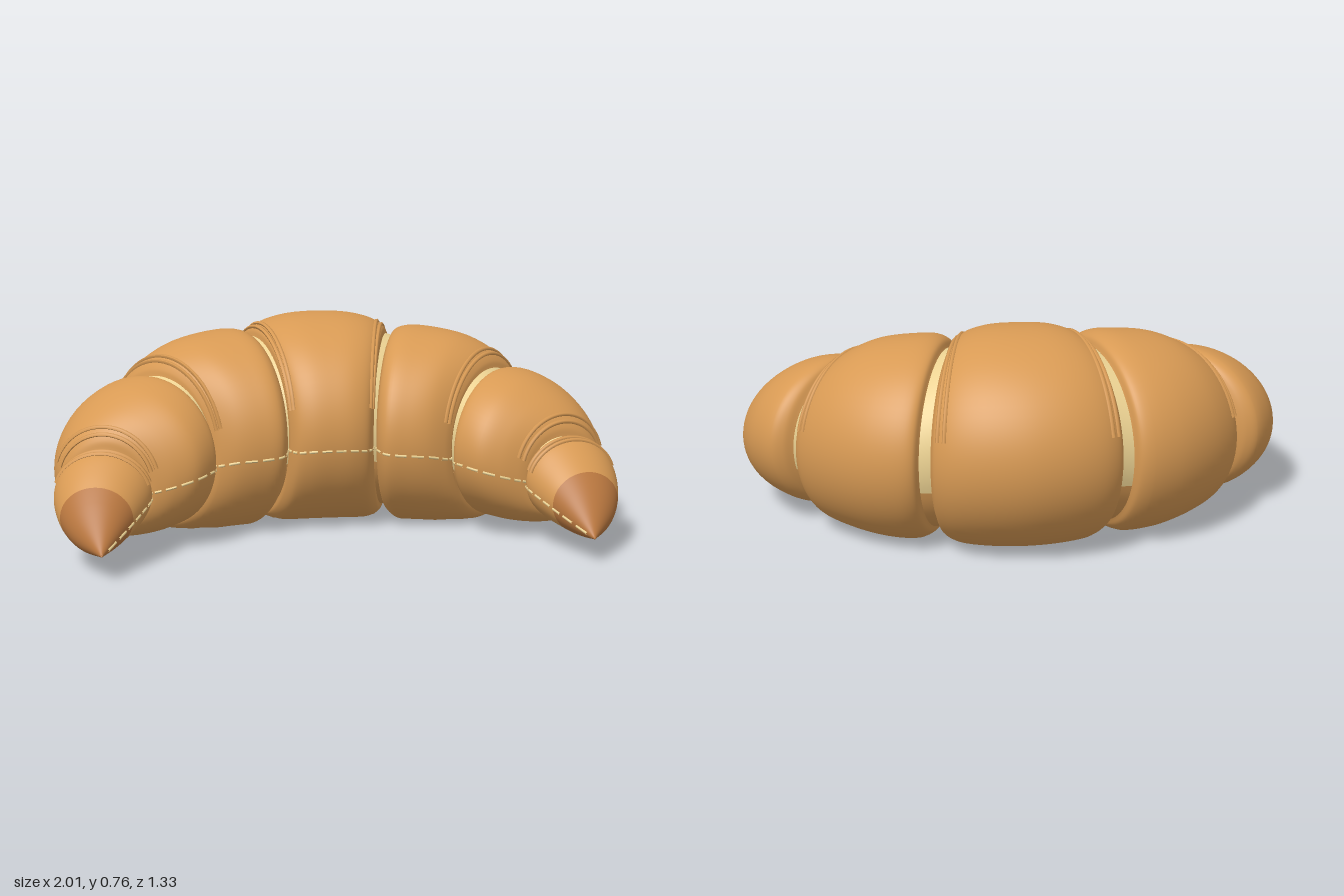
import * as THREE from 'three';
import { mergeVertices, mergeGeometries } from 'three/addons/utils/BufferGeometryUtils.js';

const mat = (color) => new THREE.MeshStandardMaterial({ color, roughness: 0.8, side: THREE.DoubleSide });

// Cross-sections: outer x, outer z, inner x, inner z, top y, bottom y
const halfMiddle = [
  [0, -0.667, 0, 0.21, 0.765, -0.028],
  [0.16, -0.645, 0.075, 0.205, 0.758, -0.026],
  [0.27, -0.60, 0.125, 0.185, 0.735, -0.018],
  [0.325, -0.55, 0.15, 0.15, 0.705, 0.005],
  [0.335, -0.515, 0.155, 0.13, 0.68, 0.03],
];
const mirrored = halfMiddle.slice(1).reverse().map(([a, b, c, ...r]) => [-a, b, -c, ...r]);
const middle = [...mirrored, ...halfMiddle];
const second = [
  [0.375, -0.505, 0.165, 0.13, 0.672, 0.03],
  [0.40, -0.53, 0.165, 0.17, 0.70, 0.005],
  [0.45, -0.53, 0.19, 0.21, 0.715, -0.02],
  [0.57, -0.48, 0.26, 0.225, 0.71, -0.025],
  [0.70, -0.375, 0.34, 0.225, 0.685, -0.015],
  [0.785, -0.26, 0.405, 0.205, 0.635, 0],
  [0.80, -0.205, 0.43, 0.19, 0.60, 0.02],
  [0.795, -0.18, 0.435, 0.185, 0.575, 0.05],
];
const third = [
  [0.81, -0.15, 0.445, 0.22, 0.555, 0.05],
  [0.85, -0.16, 0.43, 0.25, 0.58, 0.035],
  [0.895, -0.15, 0.445, 0.28, 0.585, 0.03],
  [0.965, -0.05, 0.50, 0.335, 0.56, 0.03],
  [1.0, 0.08, 0.575, 0.355, 0.505, 0.04],
  [0.995, 0.19, 0.64, 0.355, 0.445, 0.06],
  [0.97, 0.245, 0.67, 0.35, 0.405, 0.08],
  [0.945, 0.265, 0.685, 0.345, 0.375, 0.10],
];
const end = [
  [0.945, 0.285, 0.69, 0.365, 0.365, 0.10],
  [0.98, 0.30, 0.665, 0.39, 0.38, 0.085],
  [1.0, 0.335, 0.67, 0.41, 0.375, 0.075],
  [0.995, 0.42, 0.71, 0.475, 0.32, 0.065],
  [0.955, 0.52, 0.765, 0.555, 0.235, 0.065],
  [0.845, 0.665, 0.845, 0.665, 0.09, 0.088],
];

// Returns a function giving the skin point at section index k and angle a
// (0 = outer side, PI/2 = top, PI = inner side); the base is pressed flat
function skin(keys) {
  const outerTop = new THREE.CatmullRomCurve3(keys.map((k) => new THREE.Vector3(k[0], k[4], k[1])));
  const innerBottom = new THREE.CatmullRomCurve3(keys.map((k) => new THREE.Vector3(k[2], k[5], k[3])));
  return (k, a) => {
    const t = Math.min(k / (keys.length - 1), 1);
    const p = outerTop.getPoint(t), q = innerBottom.getPoint(t);
    const w = (1 + Math.cos(a)) / 2, h = (1 + Math.sin(a)) / 2;
    return new THREE.Vector3(
      q.x + (p.x - q.x) * w,
      Math.max(0, q.y + (p.y - q.y) * h),
      q.z + (p.z - q.z) * w
    );
  };
}

// Skin patch between two section indices and two angles
function patch(f, k0, k1, a0, a1, rows, cols) {
  const pos = [], index = [];
  for (let i = 0; i <= rows; i++) {
    for (let j = 0; j <= cols; j++) {
      pos.push(...f(k0 + ((k1 - k0) * i) / rows, a0 + ((a1 - a0) * j) / cols).toArray());
      if (i === rows || j === cols) continue;
      const a = i * (cols + 1) + j, b = a + cols + 1;
      index.push(a, a + 1, b, a + 1, b + 1, b);
    }
  }
  let g = new THREE.BufferGeometry();
  g.setAttribute('position', new THREE.Float32BufferAttribute(pos, 3));
  g.setIndex(index);
  g = mergeVertices(g, 1e-5);
  g.computeVertexNormals();
  return g;
}

// Reflects a geometry in x and restores its winding
function flip(g) {
  const m = g.clone().scale(-1, 1, 1);
  const ix = m.index.array;
  for (let i = 0; i < ix.length; i += 3) [ix[i], ix[i + 1]] = [ix[i + 1], ix[i]];
  m.computeVertexNormals();
  return m;
}

const tube = (points, radius, segments) =>
  new THREE.TubeGeometry(new THREE.CatmullRomCurve3(points), segments, radius, 6);

export function createModel() {
  const group = new THREE.Group();
  const crust = mat(0xd89a54), cream = mat(0xecd292), toasted = mat(0xb9773f);
  const TAU = Math.PI * 2;

  const add = (name, geometry, material) => {
    const m = new THREE.Mesh(geometry, material);
    m.name = name;
    group.add(m);
  };
  const addPair = (name, g, material) => {
    add(name + 'Left', g, material);
    add(name + 'Right', flip(g), material);
  };

  // Puffed dough segments and darker pointed ends
  const lobes = [middle, second, third, end];
  const skins = lobes.map(skin);
  add('middleSegment', patch(skins[0], 0, 8, 0, TAU, 56, 72), crust);
  addPair('secondSegment', patch(skins[1], 0, 7, 0, TAU, 42, 72), crust);
  addPair('thirdSegment', patch(skins[2], 0, 7, 0, TAU, 42, 72), crust);
  addPair('endSegment', patch(skins[3], 0, 3.45, 0, TAU, 24, 72), crust);
  addPair('toastedTip', patch(skins[3], 3.45, 5, 0, TAU, 20, 72), toasted);

  // Groove floors: pale over the top, crust coloured underneath
  for (let i = 0; i < 3; i++) {
    const floor = skin([lobes[i].at(-1), lobes[i + 1][0]]);
    addPair('paleGroove' + (i + 1), patch(floor, 0, 1, -0.3, Math.PI + 0.3, 2, 48), cream);
    addPair('lowerGroove' + (i + 1), patch(floor, 0, 1, Math.PI + 0.3, TAU - 0.3, 2, 32), crust);
  }

  // Thin raised layer lines beside the grooves
  const ridges = [[0, 6.35], [0, 6.75], [1, 4.9], [1, 5.3], [2, 4.95], [2, 5.5], [3, 1.4], [3, 2]];
  ridges.forEach(([lobe, k], n) => {
    const points = [];
    for (let i = 0; i <= 24; i++) points.push(skins[lobe](k, 0.3 + ((Math.PI - 0.6) * i) / 24));
    addPair('layerLine' + (n + 1), tube(points, 0.008, 48), crust);
  });

  // Stitched-looking seam along the inner side
  const dashes = [];
  [[0, 4, 8, 6], [1, 0, 7, 9], [2, 0, 7, 9], [3, 0, 4.8, 10]].forEach(([lobe, k0, k1, count]) => {
    const step = (k1 - k0) / count;
    for (let i = 0; i < count; i++) {
      const points = [0.15, 0.5, 0.85].map((s) => skins[lobe](k0 + (i + s) * step, Math.PI + 0.12));
      dashes.push(tube(points, 0.005, 4));
    }
  });
  addPair('innerSeam', mergeGeometries(dashes), cream);

  return group;
}
